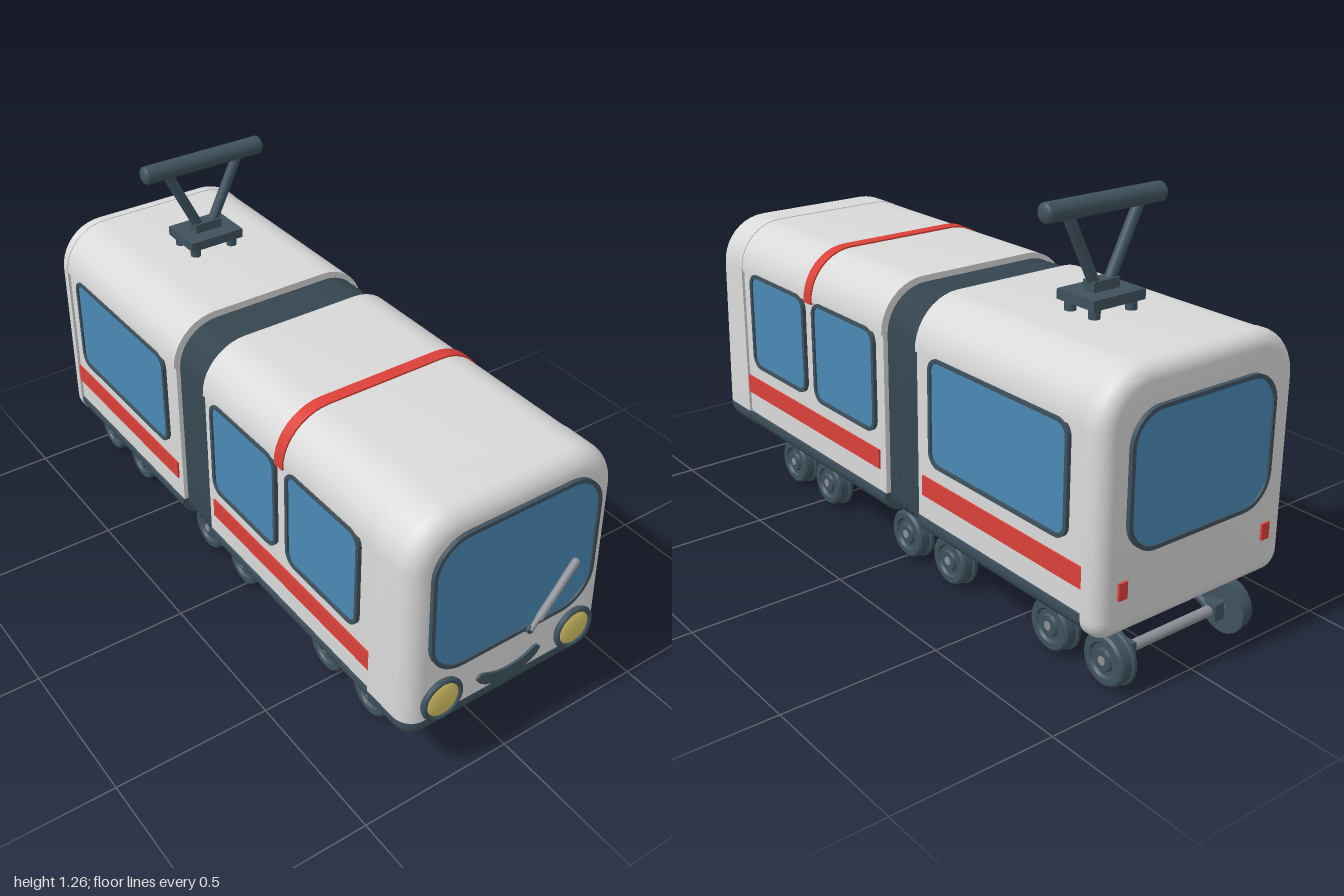
import * as THREE from 'three';
import { toCreasedNormals } from 'three/addons/utils/BufferGeometryUtils.js';

const mat = (name, color) => Object.assign(new THREE.MeshStandardMaterial({ color }), { name });
const M = {
  shell: mat('light grey', 0xd9d9d9), dark: mat('dark slate', 0x3f525e), glass: mat('window blue', 0x4a88b5),
  red: mat('red', 0xdb4039), lamp: mat('lamp yellow', 0xdcc767), steel: mat('steel grey', 0x8b9095),
};
const HW = 0.355, Y0 = 0.192, Y1 = 0.932, RT = 0.155, RB = 0.062, SKIRT = 0.262;

function add(parent, name, geo, material, x = 0, y = 0, z = 0) {
  const m = new THREE.Mesh(geo, material);
  m.name = name;
  m.position.set(x, y, z);
  parent.add(m);
  return m;
}

// Rod between two points
function rod(parent, name, a, b, r, material, sides = 16) {
  const p = new THREE.Vector3(...a), q = new THREE.Vector3(...b), d = q.clone().sub(p);
  const m = add(parent, name, new THREE.CylinderGeometry(r, r, d.length(), sides), material);
  m.position.copy(p).add(q).multiplyScalar(0.5);
  m.quaternion.setFromUnitVectors(new THREE.Vector3(0, 1, 0), d.normalize());
  return m;
}

// Counter-clockwise cross-sections of the car: above or below a cut height, or whole
function arc(out, cx, cy, r, start) {
  for (let i = 0; i <= 10; i++) {
    const a = start + (i / 10) * Math.PI / 2;
    out.push([cx + r * Math.cos(a), cy + r * Math.sin(a)]);
  }
}
function section(kind, inset, cut) {
  const p = [], w = HW - inset, rt = Math.max(RT - inset, 0.004), rb = Math.max(RB - inset, 0.004);
  if (kind === 'upper') p.push([w, cut]);
  if (kind !== 'lower') {
    arc(p, w - rt, Y1 - inset - rt, rt, 0);
    arc(p, rt - w, Y1 - inset - rt, rt, Math.PI / 2);
  }
  if (kind === 'upper') p.push([-w, cut]);
  if (kind === 'lower') p.push([-w, cut]);
  if (kind !== 'upper') {
    arc(p, rb - w, Y0 + inset + rb, rb, Math.PI);
    arc(p, w - rb, Y0 + inset + rb, rb, Math.PI * 1.5);
  }
  if (kind === 'lower') p.push([w, cut]);
  return p;
}

// Skin over rings [z, inset], listed from back to front; tilt leans all but the first ring
function loft(kind, rings, cut = SKIRT, tilt = 0) {
  const pos = [], idx = [];
  let n = 0;
  rings.forEach(([z, inset], i) => {
    const s = section(kind, inset, cut);
    n = s.length;
    for (const [x, y] of s) pos.push(x, y, z - (i ? tilt * (y - 0.25) : 0));
  });
  for (let i = 0; i < rings.length - 1; i++) for (let j = 0; j < n; j++) {
    const a = i * n + j, b = i * n + (j + 1) % n;
    idx.push(a, b, a + n, b, b + n, a + n);
  }
  const e = (rings.length - 1) * n;
  for (let j = 1; j < n - 1; j++) idx.push(0, j + 1, j, e, e + j, e + j + 1);
  const g = new THREE.BufferGeometry();
  g.setAttribute('position', new THREE.Float32BufferAttribute(pos, 3));
  g.setIndex(idx);
  return toCreasedNormals(g, 0.5);
}
function roundedEnd(from, to, r) {
  const rings = [[from, 0]], dir = Math.sign(to - from);
  for (let i = 0; i <= 7; i++) {
    const t = (i / 7) * Math.PI / 2;
    rings.push([to - dir * r * (1 - Math.sin(t)), r * (1 - Math.cos(t))]);
  }
  return dir > 0 ? rings : rings.reverse();
}

function roundRect(w, h, r, S = THREE.Shape) {
  const s = new S(), x = w / 2, y = h / 2;
  s.absarc(x - r, y - r, r, 0, Math.PI / 2);
  s.absarc(r - x, y - r, r, Math.PI / 2, Math.PI);
  s.absarc(r - x, r - y, r, Math.PI, Math.PI * 1.5);
  s.absarc(x - r, r - y, r, Math.PI * 1.5, Math.PI * 2);
  s.closePath();
  return s;
}
const extrude = (s, depth) => new THREE.ExtrudeGeometry(s, { depth, bevelEnabled: false, curveSegments: 10 });

// Glass pane with a raised dark frame, facing +z of its parent
function windowUnit(parent, name, x, y, w, h, r) {
  const f = 0.012, ring = roundRect(w, h, r);
  ring.holes.push(roundRect(w - 2 * f, h - 2 * f, r - f, THREE.Path));
  add(parent, name + 'Frame', extrude(ring, 0.014), M.dark, x, y, 0);
  add(parent, name + 'Glass', extrude(roundRect(w - f, h - f, r - f / 2), 0.008), M.glass, x, y, 0);
}

// Car middle: recessed walls, roof panel, skirt, side windows and stripes
function carMiddle(root, name, z0, z1, windows, stripe) {
  const g = new THREE.Group();
  g.name = name;
  root.add(g);
  add(g, 'walls', loft('upper', [[z0, 0.009], [z1, 0.009]]), M.shell);
  add(g, 'roofPanel', loft('upper', [[z0, 0.002], [z1, 0.002]], 0.788 - 0.013), M.shell);
  add(g, 'skirt', loft('lower', [[z0, 0.003], [z1, 0.003]]), M.dark);
  for (const s of [1, -1]) {
    const side = new THREE.Group();
    side.name = s > 0 ? 'leftSide' : 'rightSide';
    side.position.x = s * (HW - 0.011);
    side.rotation.y = s * Math.PI / 2;
    g.add(side);
    for (const [a, b] of windows) windowUnit(side, 'sideWindow', -s * (a + b) / 2, 0.615, b - a, 0.335, 0.045);
    const [a, b] = stripe;
    add(side, 'stripe', new THREE.BoxGeometry(b - a, 0.062, 0.009), M.red, -s * (a + b) / 2, 0.367, 0.0035);
  }
}

// Four-wheeled truck
function bogie(root, z) {
  const g = new THREE.Group();
  g.name = 'bogie';
  g.position.z = z;
  root.add(g);
  const profile = [[0, 0], [0.083, 0], [0.083, 0.01], [0.077, 0.014], [0.077, 0.043], [0.07, 0.05], [0.052, 0.05],
    [0.046, 0.042], [0.034, 0.042], [0.03, 0.05], [0, 0.05]].map(p => new THREE.Vector2(...p));
  const wheel = toCreasedNormals(new THREE.LatheGeometry(profile, 32), 0.5);
  add(g, 'bolster', new THREE.BoxGeometry(0.36, 0.028, 0.06), M.steel, 0, 0.177, 0);
  add(g, 'pivot', new THREE.CylinderGeometry(0.03, 0.03, 0.02, 16), M.dark, 0, 0.19, 0);
  for (const s of [1, -1]) {
    add(g, 'spring', new THREE.CylinderGeometry(0.02, 0.02, 0.04, 16), M.steel, s * 0.15, 0.15, 0);
    add(g, 'springSeat', new THREE.BoxGeometry(0.055, 0.022, 0.08), M.dark, s * 0.15, 0.135, 0);
    for (const e of [1, -1]) {
      rod(g, 'frameArm', [s * 0.155, 0.132, e * 0.025], [s * 0.165, 0.088, e * 0.11], 0.014, M.dark);
      add(g, 'axleBox', new THREE.BoxGeometry(0.036, 0.052, 0.05), M.dark, s * 0.172, 0.086, e * 0.11);
      add(g, 'wheel', wheel, M.dark, s * 0.206, 0.083, e * 0.11).rotation.z = -s * Math.PI / 2;
      rod(g, 'hub', [s * 0.25, 0.083, e * 0.11], [s * 0.259, 0.083, e * 0.11], 0.013, M.steel);
    }
  }
  for (const e of [1, -1]) rod(g, 'axle', [-0.21, 0.086, e * 0.11], [0.21, 0.086, e * 0.11], 0.016, M.steel);
}

export function createModel() {
  const root = new THREE.Group();
  root.name = 'tram';

  carMiddle(root, 'frontCar', -0.04, 0.8, [[0.4, 0.745], [0, 0.35]], [-0.01, 0.8]);
  carMiddle(root, 'rearCar', -0.93, -0.21, [[-0.87, -0.275]], [-0.93, -0.235]);
  add(root, 'roofBand', loft('upper', [[0.35, -0.003], [0.39, -0.003]], 0.77), M.red);

  // Nose and tail
  const nose = roundedEnd(0.8, 0.975, 0.06), tail = roundedEnd(-0.93, -0.992, 0.045);
  add(root, 'nose', loft('upper', nose, SKIRT, 0.03), M.shell);
  add(root, 'noseSkirt', loft('lower', nose, SKIRT, 0.03), M.dark);
  add(root, 'tail', loft('full', tail), M.shell);

  // Folding gangway
  const folds = [];
  for (let i = 0; i <= 12; i++) folds.push([-0.215 + i * 0.18 / 12, i % 2 ? 0.018 : 0.042]);
  add(root, 'gangway', loft('full', folds), M.dark);

  // Front face
  const face = new THREE.Group();
  face.name = 'frontFace';
  face.position.set(0, 0.25, 0.974);
  face.rotation.x = -0.03;
  root.add(face);
  windowUnit(face, 'windscreen', 0, 0.39, 0.58, 0.452, 0.115);
  for (const s of [1, -1]) {
    add(face, 'lampHousing', new THREE.CylinderGeometry(0.066, 0.074, 0.05, 32), M.dark, s * 0.24, 0.07, -0.015).rotation.x = Math.PI / 2;
    add(face, 'lampRim', new THREE.TorusGeometry(0.062, 0.009, 10, 32), M.dark, s * 0.24, 0.07, 0.009);
    add(face, 'lampLens', new THREE.SphereGeometry(0.057, 28, 14), M.lamp, s * 0.24, 0.07, 0.009).scale.z = 0.18;
  }
  const smile = new THREE.Shape();
  smile.moveTo(-0.115, 0.06);
  smile.quadraticCurveTo(-0.113, 0.08, -0.09, 0.074);
  smile.quadraticCurveTo(0, 0.026, 0.09, 0.074);
  smile.quadraticCurveTo(0.113, 0.08, 0.115, 0.06);
  smile.bezierCurveTo(0.085, 0, -0.085, 0, -0.115, 0.06);
  add(face, 'smile', extrude(smile, 0.009), M.dark);
  rod(face, 'wiperPivot', [0.06, 0.165, 0], [0.06, 0.165, 0.022], 0.013, M.dark);
  rod(face, 'wiperArm', [0.06, 0.165, 0.02], [0.1, 0.213, 0.02], 0.008, M.steel);
  rod(face, 'wiperBlade', [0.085, 0.195, 0.022], [0.205, 0.338, 0.022], 0.012, M.steel);
  add(face, 'wiperTip', new THREE.SphereGeometry(0.012, 12, 8), M.steel, 0.205, 0.338, 0.022);

  // Rear face
  const back = new THREE.Group();
  back.name = 'rearFace';
  back.position.z = -0.991;
  back.rotation.y = Math.PI;
  root.add(back);
  windowUnit(back, 'rearWindow', 0, 0.625, 0.53, 0.4, 0.1);
  for (const s of [1, -1]) add(back, 'tailLamp', new THREE.BoxGeometry(0.03, 0.05, 0.016), M.red, s * 0.27, 0.335, 0);

  // Current collector on the roof
  const pole = new THREE.Group();
  pole.name = 'currentCollector';
  pole.position.z = -0.592;
  root.add(pole);
  add(pole, 'basePlate', new THREE.BoxGeometry(0.19, 0.03, 0.15), M.dark, 0, 0.975, 0);
  add(pole, 'armMount', new THREE.BoxGeometry(0.095, 0.032, 0.045), M.dark, 0, 1.004, 0);
  for (const s of [1, -1]) {
    for (const e of [1, -1]) rod(pole, 'foot', [s * 0.068, 0.92, e * 0.048], [s * 0.068, 0.965, e * 0.048], 0.017, M.dark);
    rod(pole, 'arm', [s * 0.028, 1.01, 0], [s * 0.135, 1.225, 0], 0.017, M.dark);
    add(pole, 'barEnd', new THREE.SphereGeometry(0.029, 16, 12), M.dark, s * 0.205, 1.23, 0).scale.x = 0.45;
  }
  rod(pole, 'contactBar', [-0.205, 1.23, 0], [0.205, 1.23, 0], 0.029, M.dark, 24);

  for (const z of [0.57, -0.12, -0.805]) bogie(root, z);
  return root;
}
